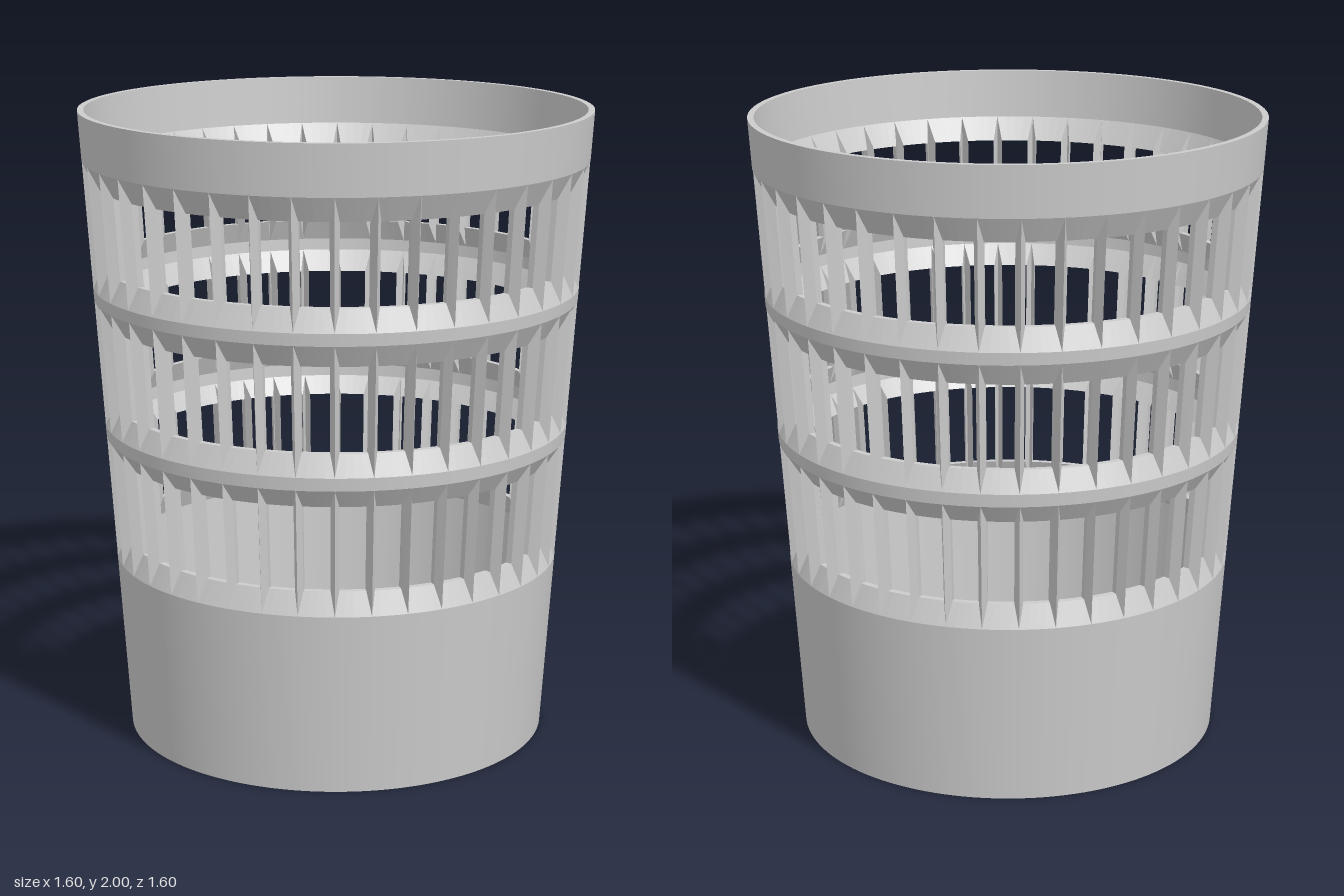
import * as THREE from 'three';
import { mergeGeometries } from 'three/addons/utils/BufferGeometryUtils.js';

const BARS = 40, ARC = 4;            // windows per row, facets across one window
const T = 0.02, DEPTH = 0.033;       // wall thickness, inward press of each window
const BAR_HALF = 0.019;              // half angle of a bar at its inner edge
const wall = (y) => 0.67 + 0.065 * y; // tapered outer radius

// Revolved profile with a crisp edge at every profile point
function revolve(points) {
  const strips = [];
  for (let i = 0; i < points.length - 1; i++) {
    const pair = [points[i], points[i + 1]].map(([r, y]) => new THREE.Vector2(r, y));
    strips.push(new THREE.LatheGeometry(pair, BARS * ARC));
  }
  return mergeGeometries(strips);
}

// Closed ring of wall between two heights
function band(y0, y1) {
  return revolve([
    [wall(y0) - T, y0], [wall(y0), y0], [wall(y1), y1], [wall(y1) - T, y1], [wall(y0) - T, y0],
  ]);
}

// Counterclockwise window outline, pressed inward by the given offset
function outline(a0, a1, y0, y1, offset) {
  const pts = [];
  const add = (a, y) => {
    const r = wall(y) - offset;
    pts.push([r * Math.sin(a), y, r * Math.cos(a)]);
  };
  for (let i = 0; i <= ARC; i++) add(a0 + (a1 - a0) * i / ARC, y0);
  for (let i = ARC; i >= 0; i--) add(a0 + (a1 - a0) * i / ARC, y1);
  return pts;
}

// Row of funnel-shaped windows; neighbouring funnels meet in V-shaped bars
function windowRow(low, lowInner, highInner, high) {
  const pos = [];
  const step = Math.PI * 2 / BARS;
  for (let k = 0; k < BARS; k++) {
    const a0 = k * step, a1 = a0 + step;
    const b0 = a0 + BAR_HALF, b1 = a1 - BAR_HALF;
    const loops = [
      outline(a0, a1, low, high, 0),
      outline(b0, b1, lowInner, highInner, DEPTH),
      outline(b0, b1, lowInner, highInner, DEPTH + T),
      outline(a0, a1, low, high, T),
    ];
    for (let l = 0; l < 3; l++) {
      const A = loops[l], B = loops[l + 1];
      for (let j = 0; j < A.length; j++) {
        const n = (j + 1) % A.length;
        pos.push(...A[j], ...A[n], ...B[n], ...A[j], ...B[n], ...B[j]);
      }
    }
  }
  const geo = new THREE.BufferGeometry();
  geo.setAttribute('position', new THREE.Float32BufferAttribute(pos, 3));
  geo.computeVertexNormals();
  return geo;
}

export function createModel() {
  const group = new THREE.Group();
  const material = new THREE.MeshStandardMaterial({ color: 0xcccccc, side: THREE.DoubleSide });
  const add = (name, geometry) => {
    const mesh = new THREE.Mesh(geometry, material);
    mesh.name = name;
    group.add(mesh);
  };

  // Solid lower bucket with floor
  const lip = 0.573;
  add('base', revolve([
    [0, 0], [wall(0), 0], [wall(lip), lip], [wall(lip) - T, lip], [wall(T) - T, T], [0, T],
  ]));

  // Slatted rows and the bands between them
  add('lowerSlats', windowRow(lip, 0.645, 0.912, 0.97));
  add('lowerBand', band(0.97, 1.01));
  add('middleSlats', windowRow(1.01, 1.077, 1.342, 1.41));
  add('upperBand', band(1.41, 1.448));
  add('upperSlats', windowRow(1.448, 1.517, 1.77, 1.845));

  // Top rim
  add('rim', band(1.845, 2));
  return group;
}
